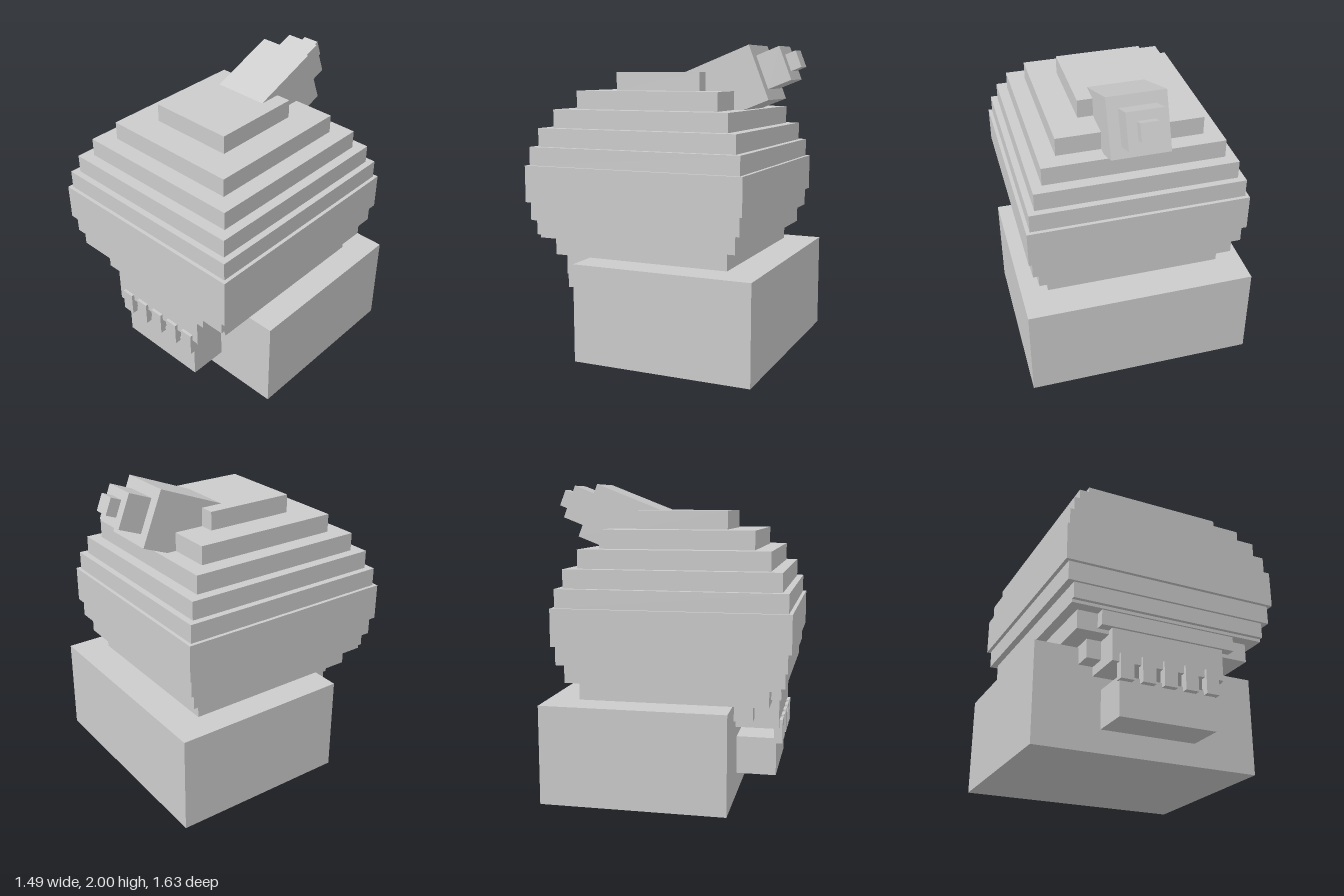
import * as THREE from 'three';

export function createModel() {
  const model = new THREE.Group();
  const grey = new THREE.MeshStandardMaterial({ color: 0xcccccc });
  grey.name = 'lightGrey';

  // Box given by its minimum and maximum on each axis
  function box(name, x0, x1, y0, y1, z0, z1, parent = model) {
    const mesh = new THREE.Mesh(new THREE.BoxGeometry(x1 - x0, y1 - y0, z1 - z0), grey);
    mesh.position.set((x0 + x1) / 2, (y0 + y1) / 2, (z0 + z1) / 2);
    mesh.name = name;
    parent.add(mesh);
    return mesh;
  }

  // Stepped round head: half-width and half-depth of each layer, bottom to top
  const head = new THREE.Group();
  head.name = 'head';
  model.add(head);
  const layers = [
    [0.463, 0.49], [0.573, 0.6], [0.638, 0.675], [0.68, 0.717], [0.703, 0.74],
    [0.703, 0.74], [0.68, 0.717], [0.638, 0.675], [0.573, 0.6], [0.463, 0.49], [0.28, 0.295],
  ];
  const bottom = 0.527, step = (1.83 - bottom) / layers.length, midZ = 0.065;
  layers.forEach(([hx, hz], i) => {
    const y = bottom + i * step;
    box('headLayer' + (i + 1), -hx, hx, y, y + step, midZ - hz, midZ + hz, head);
  });
  box('brow', -0.638, 0.638, 0.783, 0.883, 0.6, 0.765, head);

  // Body block
  box('body', -0.743, 0.743, 0, 0.635, -0.75, 0.435);

  // Muzzle, palate and lower jaw
  box('cheeks', -0.443, 0.443, 0.67, 0.77, 0.3, 0.727);
  box('upperJaw', -0.37, 0.37, 0.467, 0.67, 0.3, 0.71);
  box('palate', -0.225, 0.225, 0.43, 0.53, 0.2, 0.495);
  box('lowerJaw', -0.315, 0.315, 0.145, 0.39, 0.2, 0.69);

  // Row of teeth
  for (let i = -2; i <= 2; i++) {
    const x = i * 0.141;
    box('tooth' + (i + 3), x - 0.043, x + 0.043, 0.36, 0.515, 0.675, 0.73);
  }

  // Tilted crest of three shrinking blocks, pointing up and back
  const crest = new THREE.Group();
  crest.name = 'crest';
  crest.position.set(0, 1.828, -0.585);
  crest.rotation.x = 0.372;
  model.add(crest);
  box('crestBase', -0.183, 0.183, -0.183, 0.183, 0, 0.6, crest);
  box('crestMiddle', -0.115, 0.115, -0.112, 0.112, -0.16, 0, crest);
  box('crestTip', -0.055, 0.055, -0.055, 0.055, -0.232, -0.16, crest);

  return model;
}
